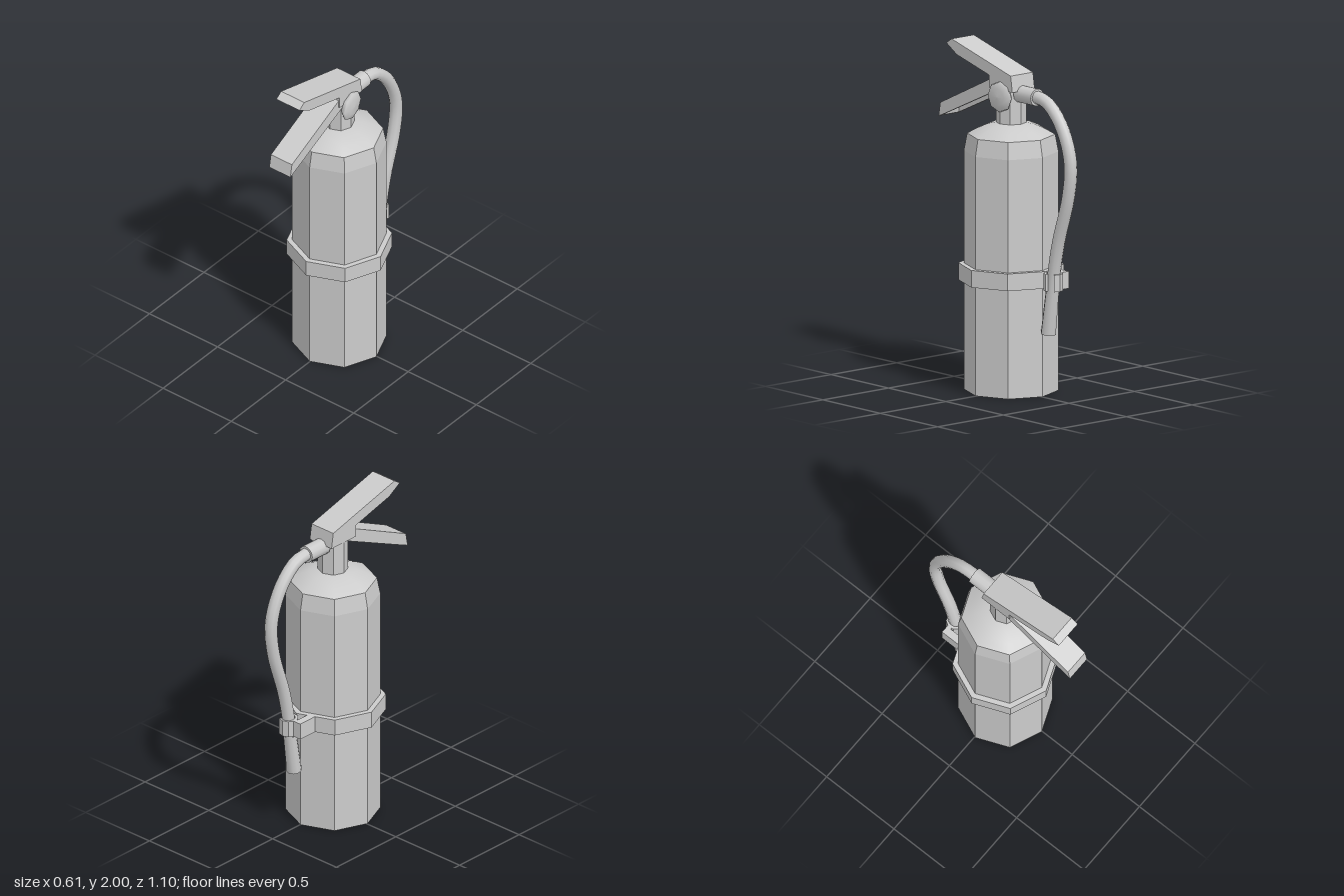
import * as THREE from 'three';

const smooth = new THREE.MeshStandardMaterial({ color: 0xcccccc, side: THREE.DoubleSide });
const flat = new THREE.MeshStandardMaterial({ color: 0xcccccc, flatShading: true, side: THREE.DoubleSide });

const toPoints = (pairs) => pairs.map(([a, b]) => new THREE.Vector2(a, b));

// Eight-sided turned part from [radius, y] pairs
const turned = (pairs) => new THREE.LatheGeometry(toPoints(pairs), 8);

// Side profile of [z, y] pairs, given a thickness along x around a centre
function sideProfile(pairs, width, centreX) {
  const geo = new THREE.ExtrudeGeometry(new THREE.Shape(toPoints(pairs)), { depth: width, bevelEnabled: false });
  return geo.translate(0, 0, -width / 2).rotateY(-Math.PI / 2).translate(centreX, 0, 0);
}

// Lever pressed from sheet: a plate with a side wall at each edge, open underneath
function channelLever(name, outline, plate, width, centreX) {
  const lever = new THREE.Group();
  const wall = 0.014;
  lever.name = name;
  add(lever, name + 'Plate', sideProfile(plate, width - 2 * wall, centreX), flat);
  for (const s of [-1, 1]) {
    add(lever, name + 'Wall', sideProfile(outline, wall, centreX + s * (width - wall) / 2), flat);
  }
  return lever;
}

function add(parent, name, geometry, material) {
  const mesh = new THREE.Mesh(geometry, material);
  mesh.name = name;
  parent.add(mesh);
  return mesh;
}

export function createModel() {
  const model = new THREE.Group();
  model.name = 'fireExtinguisher';

  // Tank, domed shoulder, neck and strap
  const tank = new THREE.Group();
  tank.name = 'tank';
  tank.position.set(-0.002, 0, 0.005);
  model.add(tank);
  add(tank, 'body', turned([[0, 0], [0.272, 0], [0.272, 1.4], [0.253, 1.5]]), flat);
  add(tank, 'shoulder', turned([[0.253, 1.5], [0.2, 1.53], [0.14, 1.556], [0.07, 1.572], [0, 1.575]]), smooth);
  add(tank, 'neck', turned([[0.087, 1.55], [0.087, 1.79], [0, 1.79]]), flat);
  add(tank, 'strap', turned([[0.265, 0.64], [0.304, 0.64], [0.304, 0.74], [0.265, 0.74]]), flat);

  // Squeeze lever on top
  model.add(channelLever('topLever',
    [[0.475, 1.97], [0.43, 2], [-0.085, 1.862], [-0.1, 1.767], [0.105, 1.767], [0.105, 1.84], [0.385, 1.915]],
    [[0.475, 1.97], [0.43, 2], [-0.085, 1.862], [-0.1, 1.767], [0.105, 1.767], [0.105, 1.896], [0.425, 1.982], [0.462, 1.96]],
    0.17, -0.004));

  // Carrying handle below it
  model.add(channelLever('carryHandle',
    [[0.04, 1.845], [0.535, 1.61], [0.55, 1.528], [0.5, 1.55], [0.04, 1.76]],
    [[0.04, 1.845], [0.535, 1.61], [0.55, 1.528], [0.536, 1.534], [0.522, 1.602], [0.04, 1.83]],
    0.154, -0.003));

  // Pressure gauge, slightly turned to the back
  const gauge = add(model, 'pressureGauge',
    turned([[0, -0.03], [0.075, -0.025], [0.09, -0.008], [0.085, 0.006], [0.05, 0.016], [0, 0.02]]).rotateZ(-Math.PI / 2), smooth);
  gauge.rotation.y = 0.09;
  gauge.position.set(0.09, 1.727, 0.004);

  // Hose connector behind the valve
  const connector = add(model, 'hoseConnector', new THREE.CylinderGeometry(0.051, 0.051, 0.15, 12), smooth);
  connector.rotation.x = Math.PI / 2;
  connector.position.set(-0.002, 1.747, -0.147);

  // Hose hanging in an S-curve
  const path = new THREE.CatmullRomCurve3([
    [1.747, -0.18], [1.745, -0.25], [1.725, -0.32], [1.634, -0.418], [1.5, -0.49], [1.37, -0.515],
    [1.194, -0.492], [0.93, -0.41], [0.75, -0.372], [0.6, -0.352],
  ].map(([y, z]) => new THREE.Vector3(-0.001, y, z)));
  add(model, 'hose', new THREE.TubeGeometry(path, 28, 0.038, 10), smooth);

  // Nozzle, flaring towards its end
  const nozzle = add(model, 'nozzle', new THREE.CylinderGeometry(0.039, 0.044, 0.25, 10), smooth);
  nozzle.position.set(-0.001, 0.502, -0.337);
  nozzle.rotation.x = Math.atan2(-0.035, 0.25);

  // Hose clip: open ring around the hose plus a bent arm to the strap
  const clip = new THREE.Group();
  clip.name = 'hoseClip';
  model.add(clip);
  const ring = [];
  const steps = 8, start = 0.95, end = Math.PI * 2 - 0.05;
  for (const [r, dir] of [[0.056, 1], [0.039, -1]]) {
    for (let i = 0; i <= steps; i++) {
      const t = dir > 0 ? i / steps : 1 - i / steps;
      const a = start + (end - start) * t;
      ring.push([r * Math.cos(a), 0.364 + r * Math.sin(a)]);
    }
  }
  const arm = [[-0.105, 0.2], [-0.06, 0.2], [-0.06, 0.352], [-0.04, 0.352], [-0.04, 0.38], [-0.105, 0.38]];
  for (const [name, outline] of [['clipRing', ring], ['clipArm', arm]]) {
    const geo = new THREE.ExtrudeGeometry(new THREE.Shape(toPoints(outline)), { depth: 0.1, bevelEnabled: false });
    add(clip, name, geo.rotateX(-Math.PI / 2).translate(0, 0.64, 0), flat);
  }
  return model;
}
